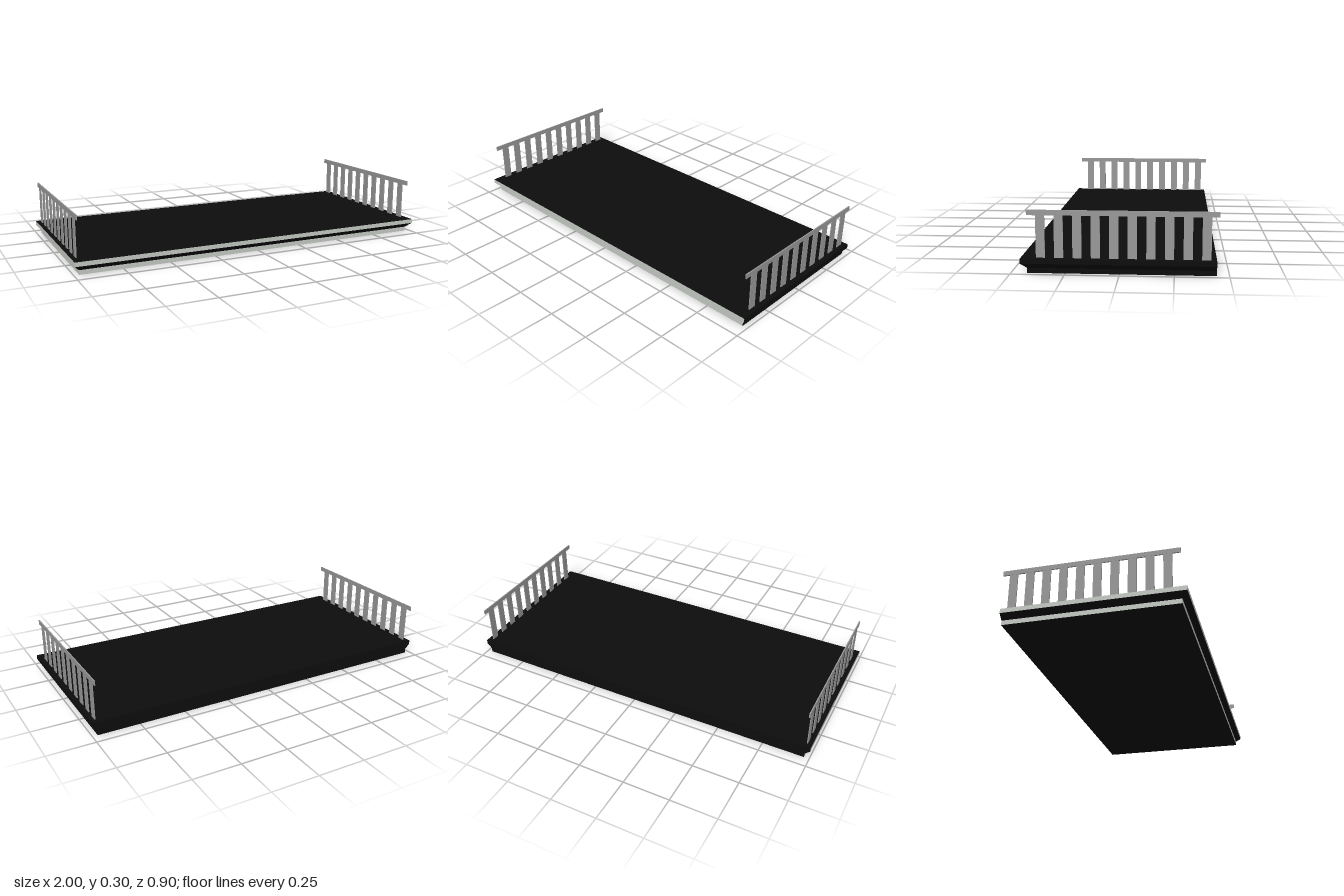
import * as THREE from 'three';

const black = new THREE.MeshStandardMaterial({ color: 0x0d0d0d });
black.name = 'black slab';
const pale = new THREE.MeshStandardMaterial({ color: 0xc6cbc4 });
pale.name = 'pale edge band';
const grey = new THREE.MeshStandardMaterial({ color: 0x999999 });
grey.name = 'grey railing';

const BACK = -0.442;

// One tier of the slab: a box whose lower and upper outlines may differ
function tier(name, y0, halfX0, front0, y1, halfX1, front1, materials) {
  const geometry = new THREE.BoxGeometry(2, 1, 2);
  const p = geometry.attributes.position;
  for (let i = 0; i < p.count; i++) {
    const top = p.getY(i) > 0;
    p.setXYZ(
      i,
      p.getX(i) * (top ? halfX1 : halfX0),
      top ? y1 : y0,
      p.getZ(i) > 0 ? (top ? front1 : front0) : BACK
    );
  }
  geometry.computeVertexNormals();
  const mesh = new THREE.Mesh(geometry, materials);
  mesh.name = name;
  return mesh;
}

// Flat balusters under a flat handrail, running front to back
function railing(name, x) {
  const group = new THREE.Group();
  group.name = name;
  const rail = new THREE.Mesh(new THREE.BoxGeometry(0.006, 0.025, 0.876), grey);
  rail.name = 'handrail';
  rail.position.set(x, 0.283, -0.014);
  group.add(rail);

  const post = new THREE.BoxGeometry(0.005, 0.2, 0.042);
  for (let i = 0; i < 10; i++) {
    const baluster = new THREE.Mesh(post, grey);
    baluster.name = 'baluster';
    baluster.position.set(x, 0.171, 0.362 - i * 0.0842);
    group.add(baluster);
  }
  return group;
}

export function createModel() {
  const model = new THREE.Group();
  model.name = 'railedPlatform';

  // Face order: left, right, top, bottom, front, back
  const banded = [black, pale, black, black, pale, black];

  model.add(
    tier('lowerSlab', 0, 0.973, 0.425, 0.024, 0.973, 0.425, banded),
    tier('slopedMoulding', 0.024, 0.973, 0.425, 0.05, 1, 0.453, black),
    tier('upperSlab', 0.05, 1, 0.453, 0.073, 1, 0.453, banded),
    railing('leftRailing', 0.972),
    railing('rightRailing', -0.974)
  );
  return model;
}
